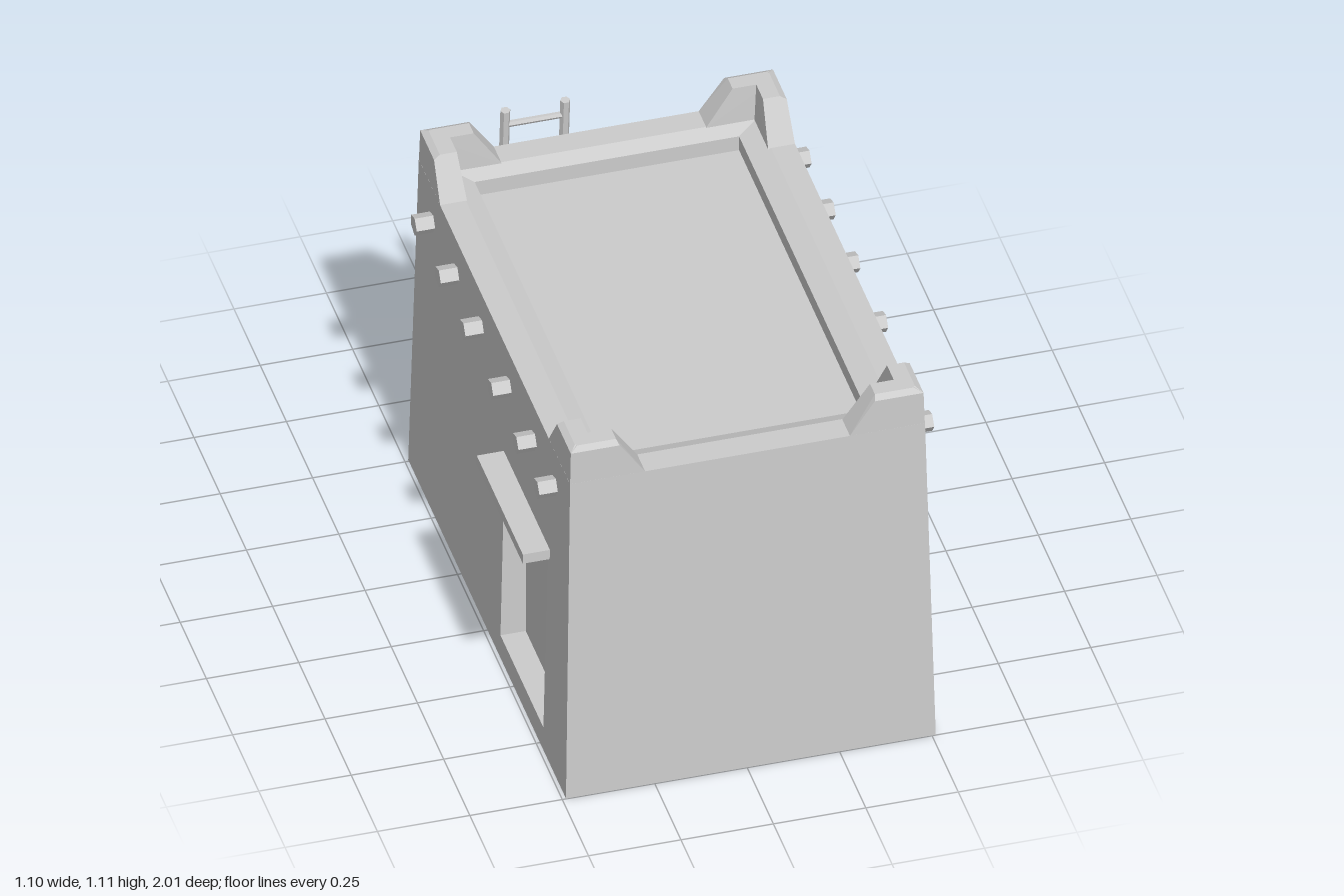
import * as THREE from 'three';
import { toCreasedNormals } from 'three/addons/utils/BufferGeometryUtils.js';
import { ConvexGeometry } from 'three/addons/geometries/ConvexGeometry.js';

const grey = new THREE.MeshStandardMaterial({ color: 0xcccccc });
const faceted = new THREE.MeshStandardMaterial({ color: 0xcccccc, flatShading: true });
const V = (x, y, z) => new THREE.Vector3(x, y, z);

function add(parent, name, geometry, material = faceted) {
  const mesh = new THREE.Mesh(geometry, material);
  mesh.name = name;
  parent.add(mesh);
  return mesh;
}

// Geometry from quads with corners counter-clockwise as seen from outside
function quadGeometry(quads) {
  const points = quads.flatMap(([a, b, c, d]) => [a, b, c, a, c, d]);
  const g = new THREE.BufferGeometry().setFromPoints(points);
  g.computeVertexNormals();
  return g;
}

// Cylinder between two points
function bar(parent, name, a, b, radius, sides, spin = 0) {
  const g = new THREE.CylinderGeometry(radius, radius, a.distanceTo(b), sides);
  g.rotateY(spin);
  const m = add(parent, name, g);
  m.position.copy(a).lerp(b, 0.5);
  m.quaternion.setFromUnitVectors(V(0, 1, 0), b.clone().sub(a).normalize());
  return m;
}

const TOP = 1.003;
const BASE = [-0.49, 0.51, -0.505, 1];
const RIM = [-0.47, 0.49, -0.475, 0.968];
const doorWallX = y => -0.49 + 0.02 * y / TOP;

function house(root) {
  const group = new THREE.Group();
  group.name = 'house';
  root.add(group);

  // Battered walls, parapet rim and sunken roof
  const ring = ([x0, x1, z0, z1], y) => [V(x0, y, z1), V(x1, y, z1), V(x1, y, z0), V(x0, y, z0)];
  const rings = [
    ring(BASE, 0), ring(RIM, TOP),
    ring([-0.40, 0.425, -0.405, 0.893], TOP),
    ring([-0.35, 0.365, -0.365, 0.85], 0.985),
    ring([-0.35, 0.365, -0.365, 0.85], 0.94),
  ];
  const quads = [rings[4], [...rings[0]].reverse()];
  for (let i = 0; i < 4; i++) {
    for (let k = 0; k < 4; k++) {
      if (i === 0 && k === 3) continue; // the doorway wall is made below
      const n = (k + 1) % 4;
      quads.push([rings[i][k], rings[i][n], rings[i + 1][n], rings[i + 1][k]]);
    }
  }
  add(group, 'walls', quadGeometry(quads));

  // Wall with the doorway cut out, leaned to match the batter
  const opening = [[0.37, 0.07], [0.78, 0.07], [0.78, 0.635], [0.37, 0.635]];
  const toPoints = list => list.map(p => new THREE.Vector2(...p));
  const shape = new THREE.Shape(toPoints([[-0.505, 0], [1, 0], [0.968, TOP], [-0.475, TOP]]));
  shape.holes.push(new THREE.Path(toPoints(opening)));
  const wall = new THREE.ShapeGeometry(shape).rotateY(-Math.PI / 2);
  const p = wall.attributes.position;
  for (let i = 0; i < p.count; i++) p.setX(i, doorWallX(p.getY(i)));
  wall.computeVertexNormals();
  add(group, 'doorwayWall', wall);

  // Door recess
  const outer = opening.map(([z, y]) => V(doorWallX(y), y, z));
  const inner = opening.map(([z, y]) => V(-0.42, y, z));
  const recess = [inner];
  for (let k = 0; k < 4; k++) {
    const n = (k + 1) % 4;
    recess.push([outer[k], outer[n], inner[n], inner[k]]);
  }
  add(group, 'doorRecess', quadGeometry(recess));
  add(group, 'lintel', new THREE.BoxGeometry(0.09, 0.03, 0.44)).position.set(-0.505, 0.65, 0.58);

  // L-shaped raised corners: [along, height, across] for one arm
  const arm = [
    [0, 0.99, 0], [0.003, 1.10, 0.003], [0.135, 1.10, 0.003], [0.205, 1.0, 0], [0.205, 0.99, 0],
    [0.025, 1.11, 0.02], [0.13, 1.11, 0.02], [0.13, 1.11, 0.066], [0.025, 1.11, 0.066],
    [0.003, 1.10, 0.066], [0, 0.99, 0.073], [0.205, 1.0, 0.073], [0.205, 0.99, 0.073],
  ];
  for (const [x, sx] of [[RIM[0], 1], [RIM[1], -1]]) {
    for (const [z, sz] of [[RIM[2], 1], [RIM[3], -1]]) {
      add(group, 'cornerArmAcross', new ConvexGeometry(arm.map(([s, y, t]) => V(x + sx * s, y, z + sz * t))));
      add(group, 'cornerArmAlong', new ConvexGeometry(arm.map(([s, y, t]) => V(x + sx * t, y, z + sz * s))));
    }
  }

  // Roof beams poking out on both sides
  for (const z of [0.83, 0.63, 0.39, 0.125, -0.11, -0.34]) {
    bar(group, 'roofBeam', V(-0.522, 0.898, z), V(0.546, 0.898, z), 0.029, 5);
  }
}

function gardenWall(root) {
  const group = new THREE.Group();
  group.name = 'gardenWall';
  root.add(group);

  // Cross-sections: inner x, inner z, outward angle, height
  const path = [[0.35, -0.47, 0, 0.51]];
  for (let i = 0; i <= 8; i++) path.push([0.35, -0.92, i * Math.PI / 16, 0.51]);
  for (let i = 0; i <= 4; i++) {
    const a = i * Math.PI / 8;
    path.push([-0.1 - 0.055 * Math.sin(a), -0.92, Math.PI / 2, 0.455 + 0.055 * Math.cos(a)]);
  }
  const sections = path.map(([x, z, a, h]) => {
    const at = (t, y) => V(x + t * Math.cos(a), y, z - t * Math.sin(a));
    return [at(0.075, 0), at(0.055, h), at(0, h), at(0, 0)];
  });
  const quads = [sections[0], [...sections.at(-1)].reverse()];
  for (let i = 0; i + 1 < sections.length; i++) {
    for (let j = 0; j < 4; j++) {
      const n = (j + 1) % 4;
      quads.push([sections[i][j], sections[i + 1][j], sections[i + 1][n], sections[i][n]]);
    }
  }
  add(group, 'curvedWall', toCreasedNormals(quadGeometry(quads), 0.6), grey);

  // Flattened coping tiles laid across the top
  const tileShape = new THREE.CylinderGeometry(0.036, 0.036, 0.1, 8).rotateX(Math.PI / 2).scale(1, 0.32, 1);
  const tile = (x, y, z, turn, tilt) => {
    const m = add(group, 'copingTile', tileShape);
    m.position.set(x, y, z);
    m.rotation.set(0, turn, tilt);
  };
  for (let i = 0; i < 7; i++) tile(-0.09 + 0.064 * i, 0.516, -0.95, 0, 0.1);
  for (let i = 0; i < 6; i++) tile(0.373, 0.516, -0.53 - 0.064 * i, Math.PI / 2, 0.1);
  tile(-0.135, 0.498, -0.95, 0, 0.7);
  // Loose tiles at the bend
  tile(0.355, 0.535, -0.92, 0.6, -0.15);
  tile(0.385, 0.51, -0.95, Math.PI / 4, -0.4);
}

function ladder(root) {
  const group = new THREE.Group();
  group.name = 'ladder';
  root.add(group);
  const zAt = y => -0.584 + 0.092 * y;
  const rails = [-0.234, -0.072];
  for (const x of rails) bar(group, 'rail', V(x, 0, zAt(0)), V(x, 1.11, zAt(1.11)), 0.0135, 6, Math.PI / 6);
  for (let i = 0; i < 8; i++) {
    const y = 1.06 - 0.133 * i;
    bar(group, 'rung', V(rails[0], y, zAt(y)), V(rails[1], y, zAt(y)), 0.009, 6);
  }
}

export function createModel() {
  const root = new THREE.Group();
  root.name = 'adobeHouse';
  house(root);
  gardenWall(root);
  ladder(root);
  return root;
}
